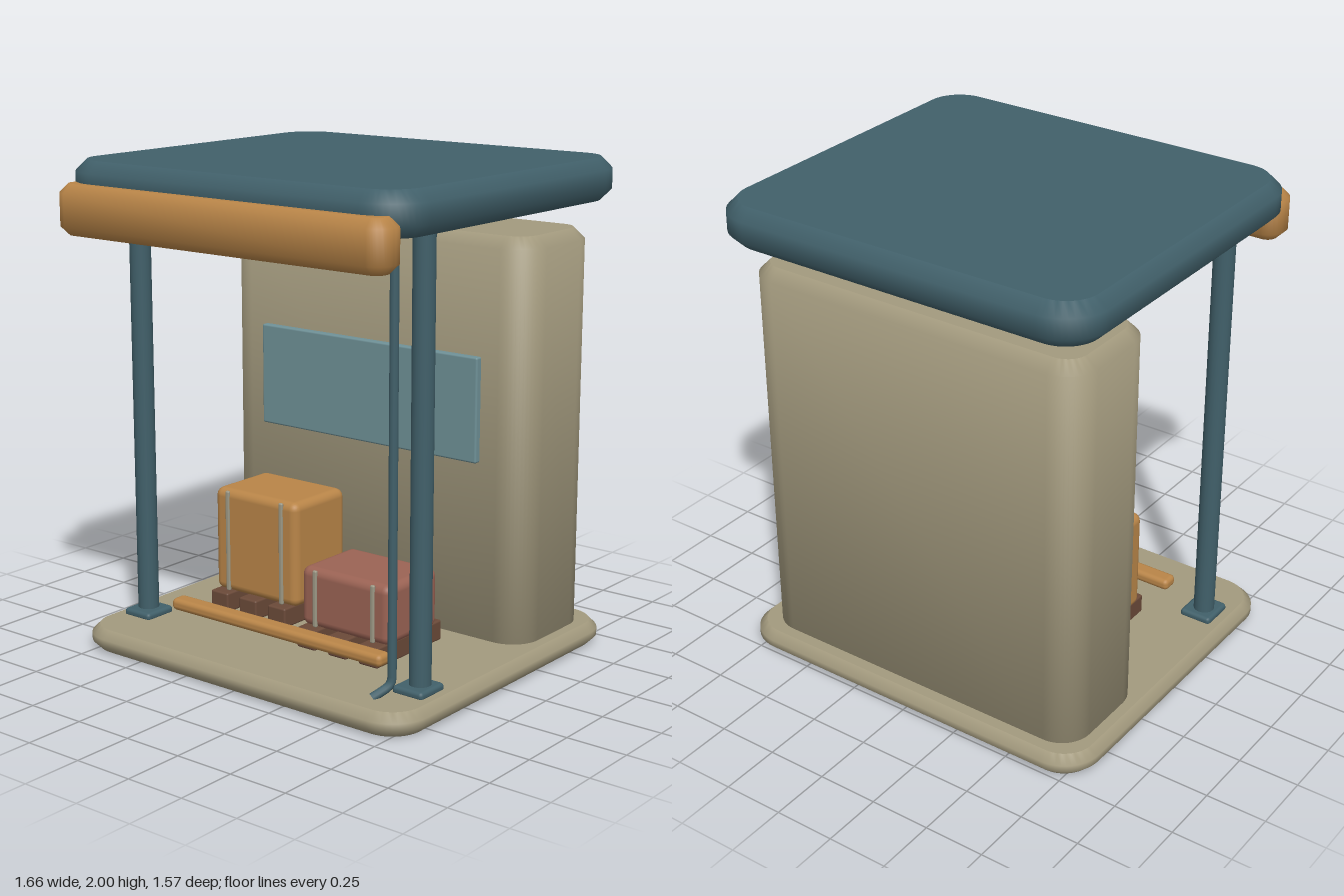
import * as THREE from 'three';
import { toCreasedNormals } from 'three/addons/utils/BufferGeometryUtils.js';
import { RoundedBoxGeometry } from 'three/addons/geometries/RoundedBoxGeometry.js';

const paint = (name, color) => {
  const m = new THREE.MeshStandardMaterial({ color });
  m.name = name;
  return m;
};

// Slab from y0 to y1 with rounded plan corners and chamfered rims; sides smooth, caps flat
function slab(w, d, y0, y1, radius, bevel) {
  const x = w / 2 - bevel, z = d / 2 - bevel, r = radius - bevel;
  const s = new THREE.Shape();
  s.moveTo(-x + r, -z);
  s.lineTo(x - r, -z);
  s.absarc(x - r, -z + r, r, -Math.PI / 2, 0);
  s.lineTo(x, z - r);
  s.absarc(x - r, z - r, r, 0, Math.PI / 2);
  s.lineTo(-x + r, z);
  s.absarc(-x + r, z - r, r, Math.PI / 2, Math.PI);
  s.lineTo(-x, -z + r);
  s.absarc(-x + r, -z + r, r, Math.PI, Math.PI * 1.5);
  let geo = new THREE.ExtrudeGeometry(s, {
    depth: y1 - y0 - 2 * bevel, bevelEnabled: true, bevelSize: bevel,
    bevelThickness: bevel, bevelSegments: 1, curveSegments: 6,
  });
  geo.rotateX(-Math.PI / 2);
  geo.translate(0, y0 + bevel, 0);
  geo = toCreasedNormals(geo, 0.9);
  const p = geo.attributes.position, n = geo.attributes.normal;
  for (let i = 0; i < p.count; i += 3) {
    const y = p.getY(i);
    if (Math.abs(y - p.getY(i + 1)) > 1e-5 || Math.abs(y - p.getY(i + 2)) > 1e-5) continue;
    for (let k = 0; k < 3; k++) n.setXYZ(i + k, 0, y > (y0 + y1) / 2 ? 1 : -1, 0);
  }
  return geo;
}

export function createModel() {
  const teal = paint('teal metal', 0x41606a);
  const stone = paint('sand plaster', 0xa39a7e);
  const amber = paint('amber', 0xb98548);
  const glass = paint('blue glass', 0x6f9197);
  const red = paint('brick red', 0x9b6354);
  const wood = paint('brown wood', 0x6b4a39);
  const strapGrey = paint('strap grey', 0x9c9885);
  const lens = paint('lamp lens', 0xc9b48f);

  const root = new THREE.Group();
  root.name = 'shelter';
  const add = (name, geo, mat, x = 0, y = 0, z = 0, parent = root) => {
    const m = new THREE.Mesh(geo, mat);
    m.name = name;
    m.position.set(x, y, z);
    parent.add(m);
    return m;
  };
  const rbox = (w, h, d, r, seg = 2) => new RoundedBoxGeometry(w, h, d, seg, r);

  // Main volumes
  add('basePlatform', slab(1.66, 1.46, 0, 0.095, 0.16, 0.033), stone, 0, 0, -0.03);
  add('backWall', slab(1.51, 0.495, 0.04, 1.725, 0.13, 0.045), stone, 0, 0, -0.433);
  add('roof', slab(1.66, 1.51, 1.83, 2, 0.18, 0.045), teal, 0, 0, -0.03);
  add('fascia', slab(1.59, 0.16, 1.715, 1.915, 0.075, 0.035), amber, 0, 0, 0.707);
  add('window', rbox(1.095, 0.425, 0.04, 0.008), glass, 0, 1.037, -0.178);

  // Posts, foot plates, ceiling battens and lamps on both sides
  for (const side of [-1, 1]) {
    const post = new THREE.CylinderGeometry(0.043, 0.043, 1.861, 16);
    add('post', post, teal, side * 0.7, 0.9295, 0.405);
    add('postFoot', rbox(0.14, 0.035, 0.15, 0.015), teal, side * 0.695, 0.103, 0.41);
    add('ceilingBatten', new THREE.BoxGeometry(0.04, 0.02, 1.26), teal, side * 0.61, 1.828, -0.03);
    const lamp = new THREE.Group();
    lamp.name = 'ceilingLamp';
    lamp.position.set(side * 0.47, 0, 0.3);
    root.add(lamp);
    add('lampHousing', new THREE.CylinderGeometry(0.07, 0.07, 0.03, 20), teal, 0, 1.82, 0, lamp);
    add('lampLens', new THREE.CylinderGeometry(0.056, 0.056, 0.006, 20), lens, 0, 1.804, 0, lamp);
  }

  // Rain pipe with kicked-out foot
  const pipe = new THREE.CurvePath();
  const v = (x, y, z) => new THREE.Vector3(x, y, z);
  pipe.add(new THREE.LineCurve3(v(0.645, 1.85, 0.507), v(0.645, 0.165, 0.507)));
  pipe.add(new THREE.QuadraticBezierCurve3(v(0.645, 0.165, 0.507), v(0.645, 0.135, 0.507), v(0.632, 0.122, 0.53)));
  pipe.add(new THREE.LineCurve3(v(0.632, 0.122, 0.53), v(0.605, 0.095, 0.58)));
  add('rainPipe', new THREE.TubeGeometry(pipe, 90, 0.018, 10), teal);

  // Low front rail
  add('frontRail', rbox(1.075, 0.05, 0.075, 0.02), amber, 0, 0.175, 0.405);

  // Strapped crates standing on slatted pallets
  const crates = [
    { mat: amber, x: -0.292, z: 0.037, top: 0.625, straps: [-0.435, -0.15], slats: [-0.45, -0.296, -0.142] },
    { mat: red, x: 0.27, z: 0.16, top: 0.43, straps: [0.127, 0.411], slats: [0.115, 0.27, 0.423] },
  ];
  for (const c of crates) {
    const g = new THREE.Group();
    g.name = 'crateOnPallet';
    root.add(g);
    const h = c.top - 0.185, mid = 0.185 + h / 2;
    add('crate', rbox(0.437, h, 0.325, 0.035, 3), c.mat, c.x, mid, c.z, g);
    for (const x of c.straps) add('strap', rbox(0.02, h - 0.01, 0.016, 0.007), strapGrey, x, mid, c.z + 0.162, g);
    for (const x of c.slats) add('palletSlat', rbox(0.092, 0.083, 0.42, 0.008), wood, x, 0.151, c.z - 0.003, g);
  }
  return root;
}
